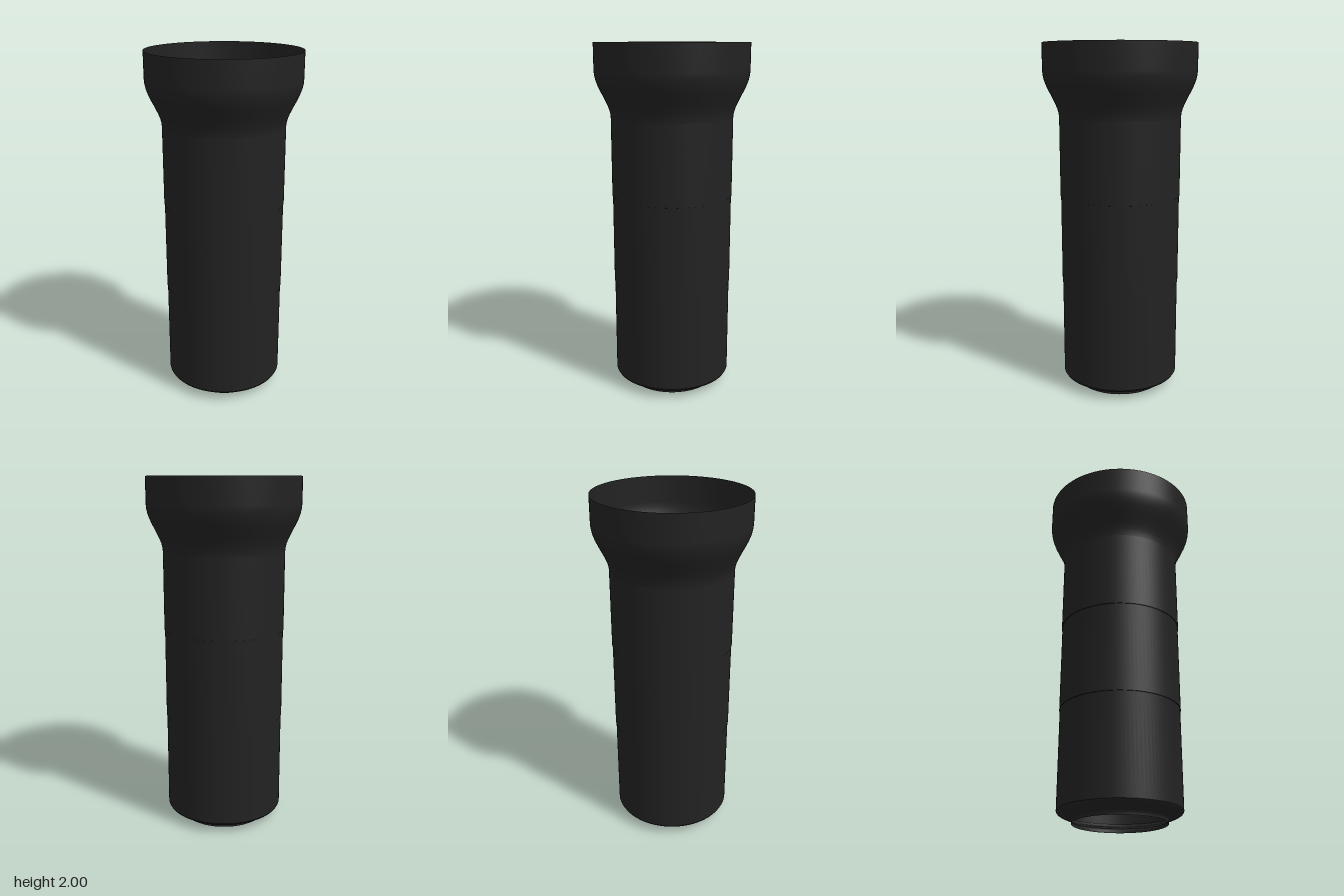
import * as THREE from 'three';

export function createModel() {
  const group = new THREE.Group();
  group.name = 'flaredSleeve';
  const black = new THREE.MeshStandardMaterial({ color: 0x222222, side: THREE.DoubleSide });
  black.name = 'matte black';

  // Revolves a [radius, height] profile, listed bottom to top, into a thin open wall
  const addWall = (name, profile) => {
    const points = profile.map(([r, y]) => new THREE.Vector2(r, y));
    const mesh = new THREE.Mesh(new THREE.LatheGeometry(points, 96), black);
    mesh.name = name;
    group.add(mesh);
  };

  // Narrow spigot and rounded shoulder at the foot
  addWall('footSpigot', [
    [0.258, 0], [0.258, 0.012], [0.262, 0.02], [0.272, 0.027],
    [0.3, 0.037], [0.322, 0.046], [0.334, 0.054], [0.34, 0.064],
  ]);

  // Long barrel, in three sections that widen by tiny steps
  addWall('lowerBarrel', [[0.34, 0.064], [0.34, 0.625]]);
  addWall('barrelStep', [[0.34, 0.625], [0.343, 0.626]]);
  addWall('middleBarrel', [[0.343, 0.626], [0.343, 1.14]]);
  addWall('barrelStep', [[0.343, 1.14], [0.346, 1.141]]);
  addWall('upperBarrel', [[0.346, 1.141], [0.346, 1.59]]);

  // S-curved flare leading to the straight collar
  addWall('flaredCollar', [
    [0.346, 1.59], [0.348, 1.61], [0.354, 1.635], [0.366, 1.665],
    [0.383, 1.7], [0.401, 1.735], [0.416, 1.767], [0.427, 1.797],
    [0.433, 1.825], [0.435, 1.85], [0.435, 2],
  ]);

  return group;
}
